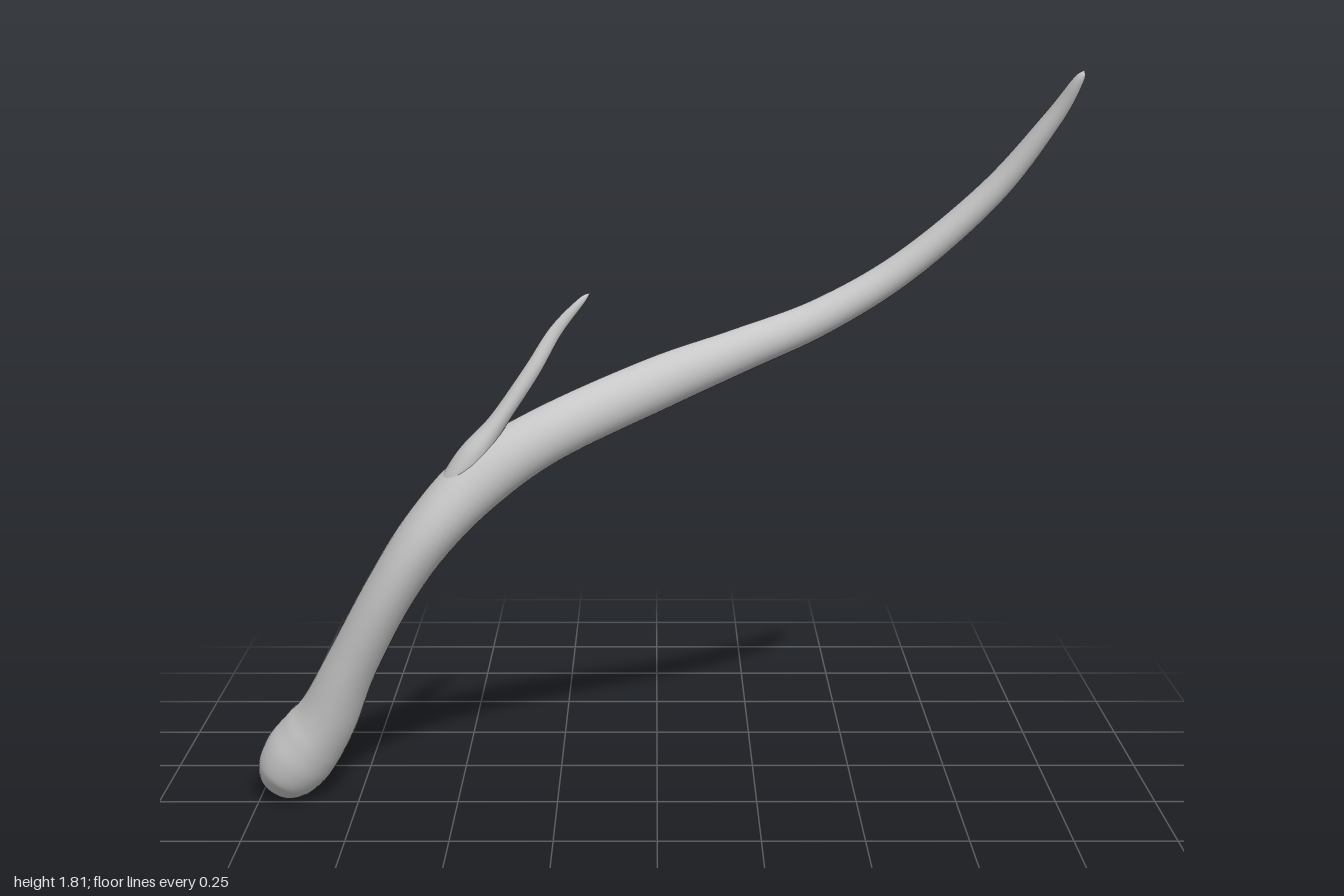
import * as THREE from 'three';

const material = new THREE.MeshStandardMaterial({ color: 0xcccccc });

// Sweeps an ellipse along a smooth path.
// Each station: [x, y, z, radius in the xy plane, radius across it]
function taperedSweep(name, stations, rings, sides) {
  const path = new THREE.CatmullRomCurve3(
    stations.map(([x, y, z]) => new THREE.Vector3(x, y, z)), false, 'catmullrom', 0.5);
  const radii = new THREE.CatmullRomCurve3(
    stations.map((s) => new THREE.Vector3(s[3], s[4], 0)), false, 'catmullrom', 0.5);
  const positions = [];
  const indices = [];
  const zAxis = new THREE.Vector3(0, 0, 1);
  for (let i = 0; i <= rings; i++) {
    const t = i / rings;
    const centre = path.getPoint(t);
    const r = radii.getPoint(t);
    const tangent = path.getTangent(t);
    const u = new THREE.Vector3().crossVectors(zAxis, tangent).normalize();
    const v = new THREE.Vector3().crossVectors(tangent, u);
    for (let j = 0; j < sides; j++) {
      const a = (j / sides) * Math.PI * 2;
      const p = centre.clone()
        .addScaledVector(u, Math.cos(a) * Math.max(r.x, 0.0005))
        .addScaledVector(v, Math.sin(a) * Math.max(r.y, 0.0005));
      positions.push(p.x, p.y, p.z);
      if (i < rings) {
        const k = (j + 1) % sides;
        const a0 = i * sides + j, a1 = i * sides + k;
        indices.push(a0, a1, a1 + sides, a0, a1 + sides, a0 + sides);
      }
    }
  }
  const geometry = new THREE.BufferGeometry();
  geometry.setAttribute('position', new THREE.Float32BufferAttribute(positions, 3));
  geometry.setIndex(indices);
  geometry.computeVertexNormals();
  const mesh = new THREE.Mesh(geometry, material);
  mesh.name = name;
  return mesh;
}

export function createModel() {
  const group = new THREE.Group();
  group.name = 'antler';

  // Main beam, from the rounded base to the pointed tip
  group.add(taperedSweep('mainBeam', [
    [-0.967, 0.012, -0.04, 0, 0],
    [-0.958, 0.026, -0.04, 0.05, 0.055],
    [-0.935, 0.06, -0.04, 0.078, 0.09],
    [-0.9, 0.11, -0.035, 0.09, 0.103],
    [-0.86, 0.165, -0.025, 0.086, 0.1],
    [-0.815, 0.235, -0.008, 0.075, 0.09],
    [-0.75, 0.375, 0.025, 0.064, 0.081],
    [-0.65, 0.565, 0.058, 0.062, 0.083],
    [-0.55, 0.715, 0.063, 0.068, 0.087],
    [-0.425, 0.845, 0.045, 0.075, 0.077],
    [-0.26, 0.95, 0.02, 0.069, 0.065],
    [0, 1.06, -0.042, 0.065, 0.062],
    [0.2, 1.135, -0.076, 0.054, 0.053],
    [0.4, 1.215, -0.101, 0.045, 0.046],
    [0.6, 1.335, -0.112, 0.039, 0.043],
    [0.8, 1.515, -0.093, 0.033, 0.037],
    [0.93, 1.69, -0.048, 0.023, 0.026],
    [0.982, 1.785, -0.01, 0.013, 0.014],
    [0.995, 1.812, 0.002, 0, 0],
  ], 144, 32));

  // Small side tine that springs from the upper edge of the beam
  group.add(taperedSweep('sideTine', [
    [-0.52, 0.79, 0.065, 0.03, 0.04],
    [-0.45, 0.895, 0.065, 0.035, 0.042],
    [-0.382, 0.985, 0.057, 0.023, 0.032],
    [-0.3, 1.105, 0.046, 0.02, 0.022],
    [-0.242, 1.2, 0.032, 0.016, 0.014],
    [-0.18, 1.272, 0.025, 0.009, 0.009],
    [-0.158, 1.292, 0.023, 0, 0],
  ], 48, 20));

  return group;
}
